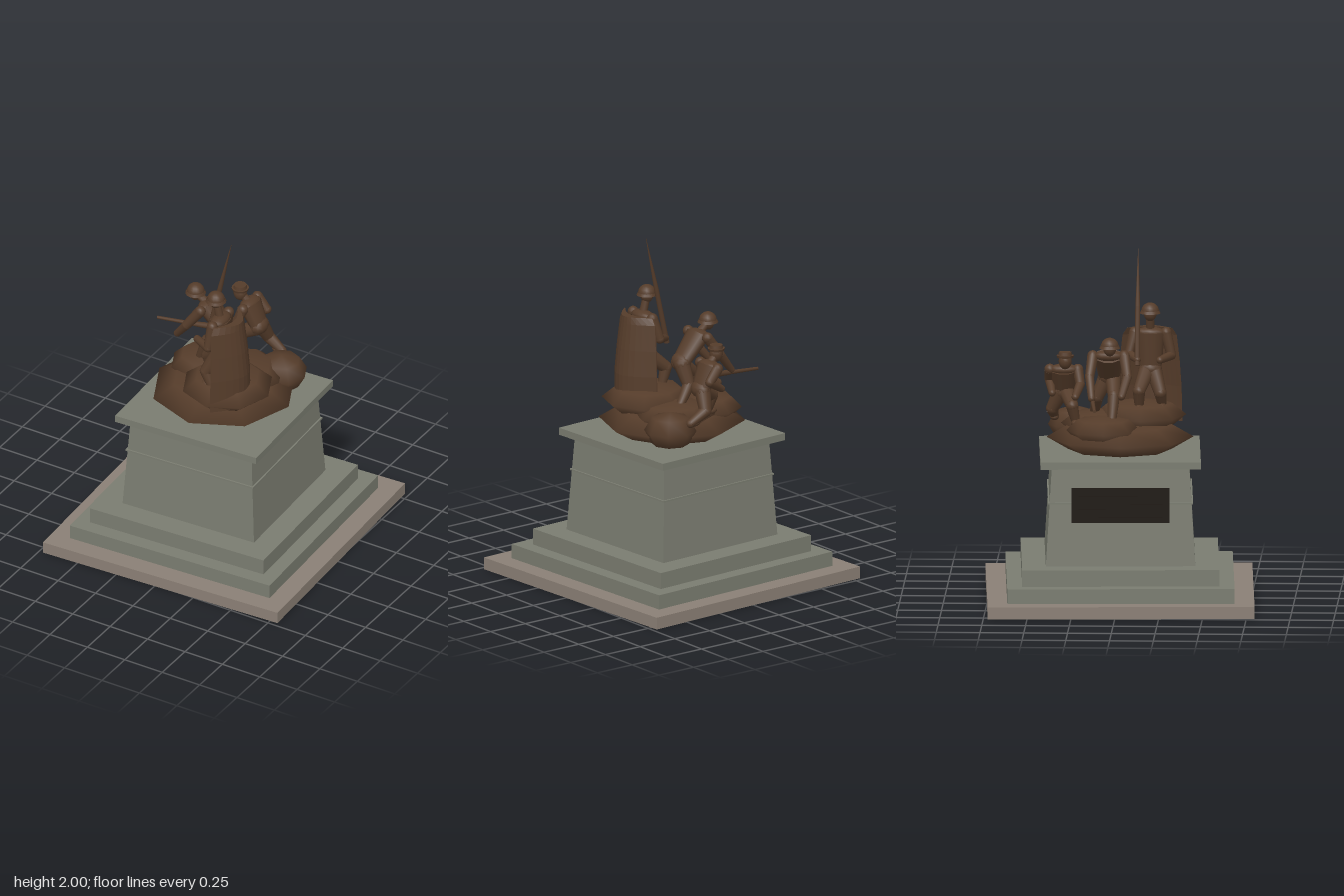
import * as THREE from 'three';

const mat = (color, flat = false) => new THREE.MeshStandardMaterial({ color, flatShading: flat, roughness: 0.85 });
const V = (p) => new THREE.Vector3(...p);
const UP = new THREE.Vector3(0, 1, 0);
const TURN = 0.0485; // the whole plinth is turned slightly

export function createModel() {
  const model = new THREE.Group();
  const bronze = mat(0x553c2a), stone = mat(0x7a7c70, true);
  const paving = mat(0x8a7f75, true), dark = mat(0x1b1510, true);

  const add = (parent, name, geo, material, pos = [0, 0, 0]) => {
    const mesh = new THREE.Mesh(geo, material);
    mesh.name = name;
    mesh.position.set(...pos);
    parent.add(mesh);
    return mesh;
  };

  // Plinth: square slabs and a tapered die, given as [name, y0, y1, half bottom, half top, material]
  const plinth = new THREE.Group();
  plinth.name = 'plinth';
  plinth.rotation.y = TURN;
  model.add(plinth);
  [
    ['paving', 0, 0.07, 0.762, 0.762, paving],
    ['lowerStep', 0.07, 0.155, 0.649, 0.649, stone],
    ['upperStep', 0.155, 0.25, 0.563, 0.563, stone],
    ['die', 0.25, 0.815, 0.427, 0.393, stone],
    ['band', 0.605, 0.615, 0.414, 0.414, stone],
    ['cap', 0.815, 0.857, 0.458, 0.458, stone],
  ].forEach(([name, y0, y1, hb, ht, m]) => {
    const geo = new THREE.CylinderGeometry(ht * Math.SQRT2, hb * Math.SQRT2, y1 - y0, 4).rotateY(Math.PI / 4);
    add(plinth, name, geo, m, [0, (y0 + y1) / 2, 0]);
  });

  // Plaque with raised horizontal bars on the side of the die
  add(plinth, 'plaque', new THREE.BoxGeometry(0.03, 0.2, 0.56), dark, [-0.409, 0.6, 0]);
  for (let i = 0; i < 7; i++) {
    add(plinth, 'plaqueBar', new THREE.BoxGeometry(0.006, 0.012, 0.48), dark, [-0.426, 0.525 + i * 0.025, 0]);
  }

  // Rocks: coarse flattened spheres [x, y, z, radius, half height]
  [
    [0, 0.93, 0, 0.42, 0.1],
    [0.09, 1.045, 0.11, 0.265, 0.09],
    [0.22, 0.965, -0.27, 0.15, 0.11],
    [-0.17, 0.995, -0.09, 0.21, 0.085],
    [0.06, 1.0, -0.1, 0.24, 0.08],
  ].forEach(([x, y, z, r, h]) => {
    const rock = add(model, 'rock', new THREE.SphereGeometry(1, 8, 4), bronze, [x, y, z]);
    rock.scale.set(r, h, r);
    rock.rotation.y = TURN;
  });

  // Curved upright shield, lofted from crescent sections [y, inner x, bulge, half width]
  const sections = [
    [1.0, 0.12, 0.13, 0.187], [1.2, 0.12, 0.13, 0.182], [1.35, 0.115, 0.12, 0.172],
    [1.5, 0.11, 0.105, 0.155], [1.54, 0.11, 0.1, 0.13],
  ];
  const N = 12, ring = 2 * (N + 1), pos = [], idx = [];
  for (const [y, x, bulge, w] of sections) {
    for (let i = 0; i < ring; i++) {
      const outer = i <= N, t = ((outer ? i : ring - 1 - i) / N) * 2 - 1;
      const c = Math.cos(t * Math.PI / 2);
      pos.push(x + c * (outer ? bulge : bulge - 0.04) + (outer ? 0.006 : 0), y, 0.165 - t * w);
    }
  }
  for (let s = 0; s < sections.length - 1; s++) {
    for (let i = 0; i < ring; i++) {
      const a = s * ring + i, b = s * ring + (i + 1) % ring;
      idx.push(a, b, a + ring, b, b + ring, a + ring);
    }
  }
  const top = (sections.length - 1) * ring;
  for (let i = 0; i < N; i++) {
    const a = top + i, b = top + i + 1, c = top + ring - 1 - i, d = c - 1;
    idx.push(a, b, c, b, d, c);
  }
  const shieldGeo = new THREE.BufferGeometry();
  shieldGeo.setAttribute('position', new THREE.Float32BufferAttribute(pos, 3));
  shieldGeo.setIndex(idx);
  const shieldMat = bronze.clone();
  shieldMat.side = THREE.DoubleSide;
  const flatShield = shieldGeo.toNonIndexed();
  flatShield.computeVertexNormals();
  add(model, 'shield', flatShield, shieldMat);

  // Tapered rod between two points
  const rod = (parent, name, a, b, ra, rb, depth = 1) => {
    const p = V(a), q = V(b), dir = q.clone().sub(p);
    const mesh = add(parent, name, new THREE.CylinderGeometry(rb, ra, dir.length(), 10), bronze);
    mesh.position.copy(p).add(q).multiplyScalar(0.5);
    mesh.quaternion.setFromUnitVectors(UP, dir.normalize());
    mesh.scale.z = depth;
    return mesh;
  };
  const ball = (parent, name, p, r) => add(parent, name, new THREE.SphereGeometry(r, 12, 8), bronze, p);

  // Limb: rods through joints, with a ball on every joint
  const limb = (parent, name, points, radii) => {
    points.forEach((p, i) => {
      ball(parent, name + 'Joint', p, radii[i]);
      if (i) rod(parent, name, points[i - 1], p, radii[i - 1], radii[i]);
    });
  };

  const soldier = (f) => {
    const g = new THREE.Group();
    g.name = f.name;
    model.add(g);
    const z = f.hip[2];
    rod(g, 'torso', f.hip, f.chest, 0.042, 0.055, 1.5);
    const yoke = ball(g, 'shoulders', f.chest, 0.055);
    yoke.scale.set(0.9, 0.6, 1.55);
    const belt = ball(g, 'hips', f.hip, 0.052);
    belt.scale.z = 1.3;
    rod(g, 'neck', f.chest, f.head, 0.025, 0.022);
    ball(g, 'head', f.head, 0.042).scale.set(0.95, 1.15, 0.9);
    const [hx, hy, hz] = f.head;
    if (f.flatCap) {
      add(g, 'capBrim', new THREE.CylinderGeometry(0.05, 0.046, 0.014, 14), bronze, [hx, hy + 0.027, hz]);
      add(g, 'capCrown', new THREE.CylinderGeometry(0.036, 0.04, 0.022, 14), bronze, [hx, hy + 0.042, hz]);
    } else {
      const dome = new THREE.SphereGeometry(0.052, 14, 6, 0, Math.PI * 2, 0, Math.PI / 2);
      add(g, 'helmet', dome, bronze, [hx, hy + 0.008, hz]);
      add(g, 'helmetBrim', new THREE.CylinderGeometry(0.052, 0.06, 0.016, 14), bronze, [hx, hy + 0.006, hz]);
    }
    f.arms.forEach((a) => limb(g, 'arm', a, [0.032, 0.027, 0.021]));
    f.legs.forEach((l) => {
      limb(g, 'leg', [[l[0][0], l[0][1], (l[0][2] + z) / 2], l[1], l[2]], [0.048, 0.036, 0.025]);
      const foot = ball(g, 'foot', [l[2][0] - 0.022, l[2][1], l[2][2]], 0.026);
      foot.scale.set(1.8, 0.8, 1);
    });
    return g;
  };

  // Upright soldier in front of the shield, with a tall blade
  const first = soldier({
    name: 'uprightSoldier', hip: [0.08, 1.31, 0.17], chest: [0.08, 1.52, 0.17], head: [0.05, 1.638, 0.17],
    arms: [
      [[0.08, 1.52, 0.08], [0.05, 1.4, 0.05], [-0.03, 1.38, 0.1]],
      [[0.08, 1.52, 0.26], [0.07, 1.39, 0.29], [-0.04, 1.38, 0.23]],
    ],
    legs: [
      [[0.08, 1.3, 0.13], [-0.04, 1.2, 0.11], [-0.01, 1.1, 0.11]],
      [[0.08, 1.3, 0.21], [0.02, 1.18, 0.23], [0.06, 1.1, 0.24]],
    ],
  });
  rod(first, 'bladeLower', [-0.04, 1.35, 0.1], [0.035, 1.68, 0.1], 0.016, 0.014);
  rod(first, 'bladeUpper', [0.035, 1.68, 0.1], [0.11, 2, 0.1], 0.014, 0.001);

  // Advancing soldier, leaning forward over a levelled rifle
  const second = soldier({
    name: 'advancingSoldier', hip: [-0.02, 1.28, -0.06], chest: [-0.14, 1.42, -0.06], head: [-0.22, 1.478, -0.05],
    arms: [
      [[-0.14, 1.42, -0.15], [-0.22, 1.31, -0.165], [-0.31, 1.2, -0.15]],
      [[-0.14, 1.42, 0.03], [-0.22, 1.31, 0.05], [-0.3, 1.21, 0.02]],
    ],
    legs: [
      [[-0.02, 1.27, -0.02], [-0.13, 1.19, -0.03], [-0.19, 1.04, -0.04]],
      [[-0.01, 1.27, -0.1], [-0.02, 1.16, -0.13], [0.06, 1.05, -0.15]],
    ],
  });
  rod(second, 'rifleBarrel', [-0.52, 1.16, -0.125], [-0.3, 1.182, -0.145], 0.009, 0.012);
  rod(second, 'rifleStock', [-0.3, 1.182, -0.145], [-0.16, 1.2, -0.16], 0.014, 0.02);

  // Crouching soldier in a flat cap at the back
  soldier({
    name: 'crouchingSoldier', flatCap: true,
    hip: [0.04, 1.19, -0.32], chest: [-0.02, 1.32, -0.32], head: [-0.08, 1.378, -0.31],
    arms: [
      [[-0.02, 1.32, -0.4], [0.04, 1.25, -0.405], [-0.06, 1.19, -0.385]],
      [[-0.02, 1.32, -0.24], [-0.05, 1.24, -0.225], [-0.14, 1.18, -0.25]],
    ],
    legs: [
      [[0.03, 1.18, -0.29], [-0.08, 1.12, -0.27], [-0.06, 1.02, -0.25]],
      [[0.04, 1.18, -0.36], [0.06, 1.08, -0.39], [0.16, 1.02, -0.38]],
    ],
  });

  return model;
}
